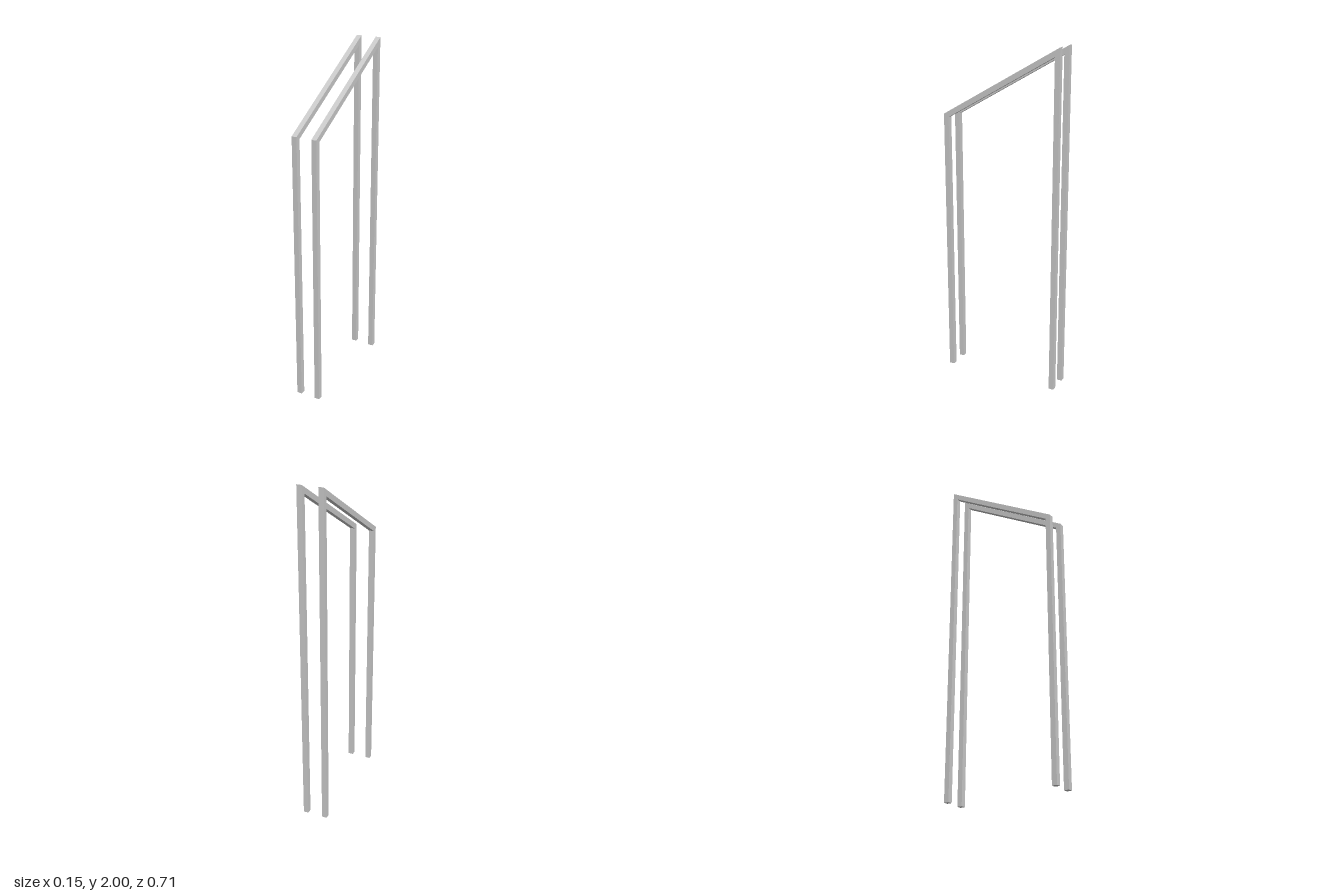
import * as THREE from 'three';

const BAR = 0.03;               // square bar thickness
const HALF_DEPTH = 0.357;       // outer half depth of a frame
const TOP = 2;                  // height of the rear corner
const SLOPE = Math.tan(Math.PI / 6);

// Height of the sloped bar's upper face at depth z
const upperY = (z) => TOP - (z + HALF_DEPTH) * SLOPE;
const lowerY = (z) => upperY(z) - BAR / Math.cos(Math.PI / 6);

// Side profile of one mitred frame: rear leg, sloped top bar, front leg
function frameGeometry() {
  const o = HALF_DEPTH, i = HALF_DEPTH - BAR;
  const profile = new THREE.Shape([
    [o, 0], [o, upperY(o)], [-o, upperY(-o)], [-o, 0],
    [-i, 0], [-i, lowerY(-i)], [i, lowerY(i)], [i, 0],
  ].map(([z, y]) => new THREE.Vector2(z, y)));
  const geometry = new THREE.ExtrudeGeometry(profile, { depth: BAR, bevelEnabled: false });
  geometry.translate(0, 0, -BAR / 2);
  geometry.rotateY(-Math.PI / 2);   // profile x becomes depth z
  return geometry;
}

export function createModel() {
  const group = new THREE.Group();
  group.name = 'slopedFramePair';
  const material = new THREE.MeshStandardMaterial({ color: 0xcccccc });
  const geometry = frameGeometry();

  // Two identical frames side by side
  for (const [name, x] of [['leftFrame', 0.06], ['rightFrame', -0.06]]) {
    const frame = new THREE.Mesh(geometry, material);
    frame.name = name;
    frame.position.x = x;
    group.add(frame);
  }
  return group;
}
